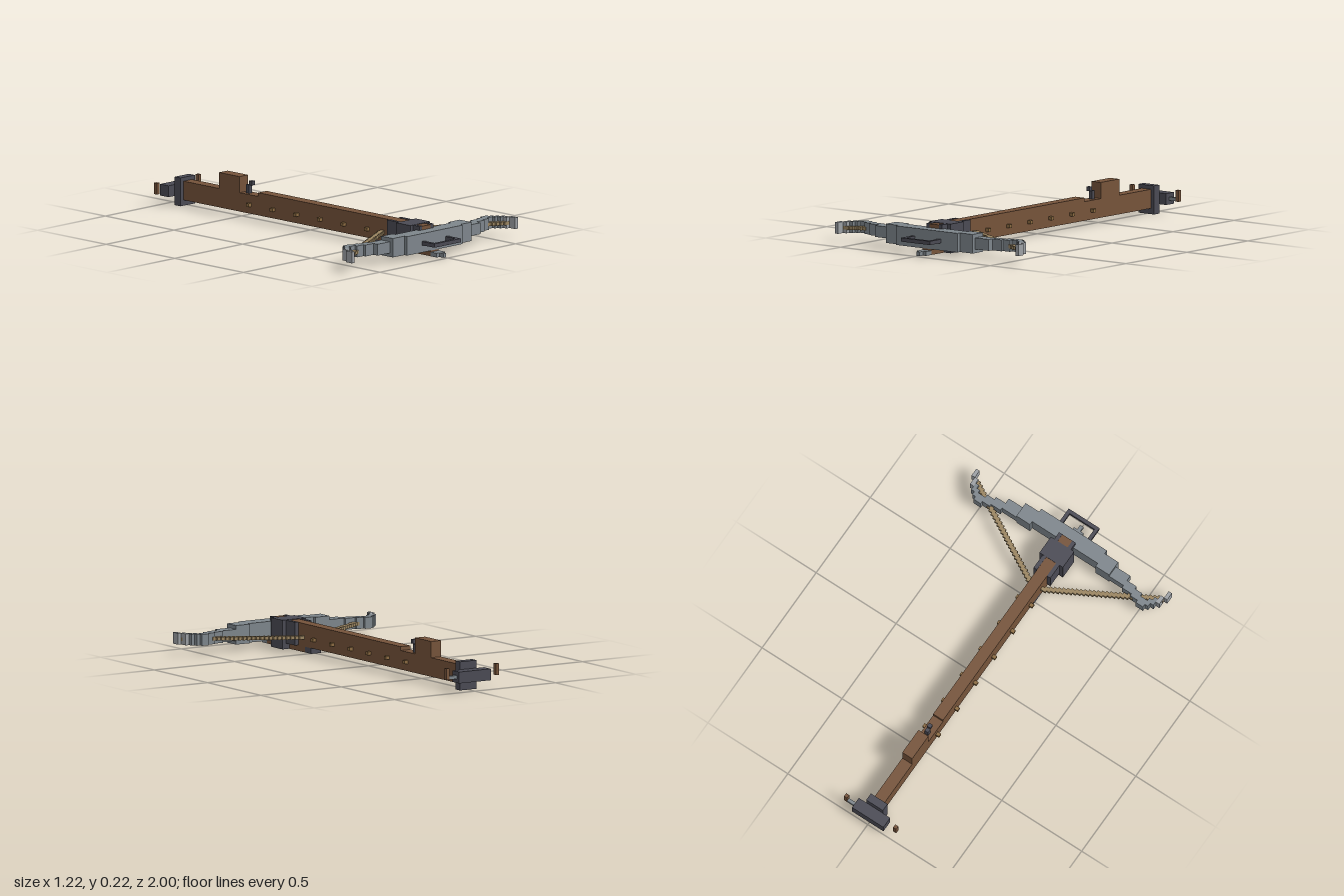
import * as THREE from 'three';

const mat = (name, color) => {
  const m = new THREE.MeshStandardMaterial({ color });
  m.name = name;
  return m;
};

export function createModel() {
  const wood = mat('brown wood', 0x75533a);
  const iron = mat('dark iron', 0x4a4a54);
  const steel = mat('grey steel', 0x7e868c);
  const pale = mat('pale steel', 0x9da1a5);
  const cord = mat('tan cord', 0x9a8460);
  const brass = mat('brass peg', 0x8c6c42);

  const model = new THREE.Group();
  model.name = 'crossbow';
  const group = (name) => {
    const g = new THREE.Group();
    g.name = name;
    model.add(g);
    return g;
  };
  // Box given by its lower and upper limits on each axis
  const box = (parent, name, m, [x0, x1], [y0, y1], [z0, z1]) => {
    const mesh = new THREE.Mesh(new THREE.BoxGeometry(x1 - x0, y1 - y0, z1 - z0), m);
    mesh.position.set((x0 + x1) / 2, (y0 + y1) / 2, (z0 + z1) / 2);
    mesh.name = name;
    parent.add(mesh);
  };
  const span = (s, a, b) => (s > 0 ? [a, b] : [-b, -a]);

  // Stock: side profile (z, y) extruded across x
  const profile = [[0.845, 0.03], [0.845, 0.15], [-0.35, 0.15], [-0.35, 0.13], [-0.485, 0.13],
    [-0.485, 0.215], [-0.635, 0.215], [-0.635, 0.13], [-0.9, 0.13], [-0.9, 0.03]];
  const shape = new THREE.Shape(profile.map(([z, y]) => new THREE.Vector2(z, y)));
  const stockGeo = new THREE.ExtrudeGeometry(shape, { depth: 0.062, bevelEnabled: false });
  stockGeo.translate(0, 0, -0.031).rotateY(-Math.PI / 2);
  const stock = new THREE.Mesh(stockGeo, wood);
  stock.name = 'stock';
  model.add(stock);

  // Rail under the head
  const rail = group('lowerRail');
  box(rail, 'railBody', wood, [-0.03, 0.03], [0, 0.03], [0.55, 0.905]);
  box(rail, 'railRearCap', iron, [-0.03, 0.03], [0, 0.03], [0.49, 0.55]);
  box(rail, 'railNose', steel, [-0.03, 0.03], [0, 0.022], [0.905, 0.95]);
  box(rail, 'railTip', steel, [-0.01, 0.01], [0, 0.022], [0.95, 0.978]);

  // Iron head clamp
  const head = group('headClamp');
  box(head, 'clampBlock', iron, [-0.073, 0.073], [0, 0.153], [0.695, 0.8]);
  for (const s of [1, -1]) {
    box(head, 'clampCheek', iron, span(s, 0.031, 0.052), [0.03, 0.152], [0.61, 0.845]);
  }

  // Foot stirrup
  const stirrup = group('stirrup');
  box(stirrup, 'stirrupBar', iron, [-0.097, 0.097], [0.069, 0.089], [0.98, 1]);
  for (const s of [1, -1]) {
    box(stirrup, 'stirrupArm', iron, span(s, 0.077, 0.097), [0.069, 0.089], [0.885, 0.98]);
  }

  // Bow: stepped limb segments [x0, x1, z0, z1]
  const bow = group('bow');
  box(bow, 'bowCentre', steel, [-0.205, 0.205], [0.03, 0.13], [0.822, 0.907]);
  const limb = [[0.205, 0.29, 0.802, 0.887], [0.29, 0.38, 0.802, 0.865], [0.38, 0.44, 0.787, 0.835],
    [0.44, 0.485, 0.775, 0.82], [0.485, 0.53, 0.76, 0.803], [0.53, 0.55, 0.778, 0.82],
    [0.55, 0.57, 0.798, 0.84], [0.57, 0.592, 0.82, 0.865], [0.592, 0.612, 0.863, 0.907]];
  for (const s of [1, -1]) {
    limb.forEach(([x0, x1, z0, z1], i) => {
      const y = i === 0 ? [0.03, 0.13] : [0.05, 0.11];
      box(bow, i > 6 ? 'limbTip' : 'limbSegment', i > 6 ? pale : steel, span(s, x0, x1), y, [z0, z1]);
    });
  }

  // String: overlapping short blocks from the stock out to each tip
  const string = group('bowString');
  const links = 28;
  for (const s of [1, -1]) {
    for (let i = 0; i < links; i++) {
      const x = 0.025 + i * 0.0197, z = 0.56 + i * 0.011;
      box(string, 'stringLink', cord, span(s, x, x + 0.036), [0.069, 0.087], [z - 0.01, z + 0.01]);
    }
  }

  // Pegs through the stock
  const pegs = group('pegs');
  for (let i = 0; i < 6; i++) {
    const z = -0.408 + i * 0.172;
    box(pegs, 'peg', brass, [-0.052, 0.052], [0.069, 0.087], [z - 0.01, z + 0.01]);
  }

  // Rear sight
  const sight = group('sight');
  box(sight, 'sightPost', iron, [-0.011, 0.011], [0.13, 0.175], [-0.458, -0.436]);
  box(sight, 'sightHead', iron, [-0.011, 0.011], [0.175, 0.197], [-0.437, -0.416]);

  // Butt with winding drum and crank handles
  const butt = group('butt');
  box(butt, 'buttPlate', iron, [-0.052, 0.052], [0, 0.15], [-0.937, -0.894]);
  box(butt, 'windingDrum', iron, [-0.098, 0.098], [0.049, 0.109], [-1, -0.937]);
  box(butt, 'crankAxle', steel, [0.098, 0.145], [0.07, 0.088], [-0.978, -0.96]);
  for (const s of [1, -1]) {
    box(butt, 'crankHandle', wood, span(s, 0.144, 0.163), [0.069, 0.129], [-0.978, -0.958]);
  }

  return model;
}
